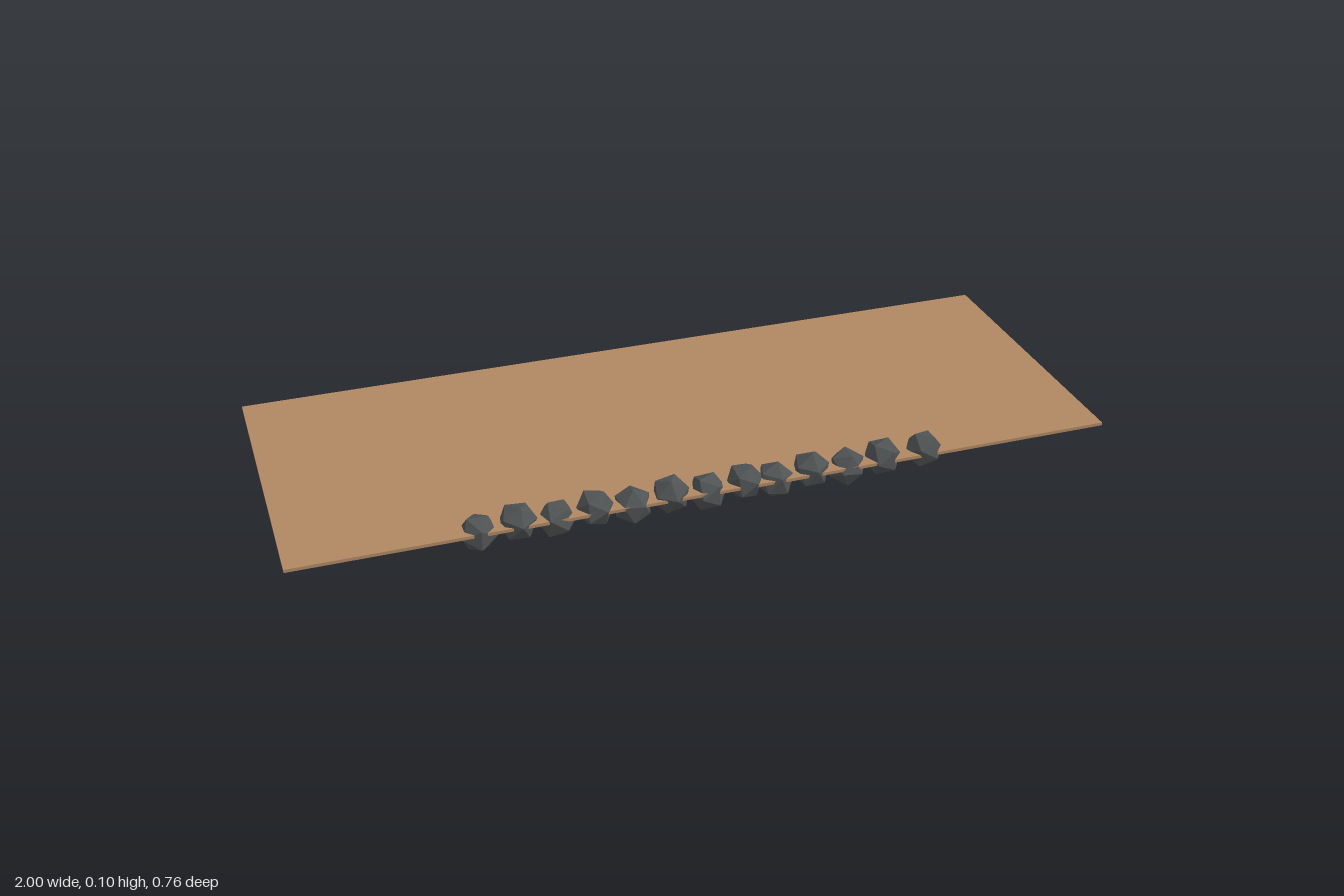
import * as THREE from 'three';

export function createModel() {
  const model = new THREE.Group();
  model.name = 'stoneEdgedSlab';
  const earth = new THREE.MeshStandardMaterial({ color: 0xb08862 });
  const rock = new THREE.MeshStandardMaterial({ color: 0x505354, flatShading: true });

  // Thin flat ground slab
  const slab = new THREE.Mesh(new THREE.BoxGeometry(2, 0.008, 0.747), earth);
  slab.name = 'groundSlab';
  slab.position.set(0, 0.061, -0.0065);
  model.add(slab);

  // Row of faceted stones along the front edge, alternately low and high
  const stones = new THREE.Group();
  stones.name = 'stoneRow';
  const stoneGeometry = new THREE.IcosahedronGeometry(0.047, 0);
  const xs = [-0.563, -0.472, -0.381, -0.29, -0.2, -0.108, -0.018, 0.073, 0.15, 0.24, 0.333, 0.424, 0.533];
  xs.forEach((x, i) => {
    const high = i % 2 === 1 || i === 12;
    const stone = new THREE.Mesh(stoneGeometry, rock);
    stone.name = 'stone' + (i + 1);
    stone.position.set(x, high ? 0.06 : 0.049, 0.333);
    stone.rotation.set(i * 1.3, i * 2.1, i * 0.7);
    stones.add(stone);
  });
  model.add(stones);
  return model;
}
